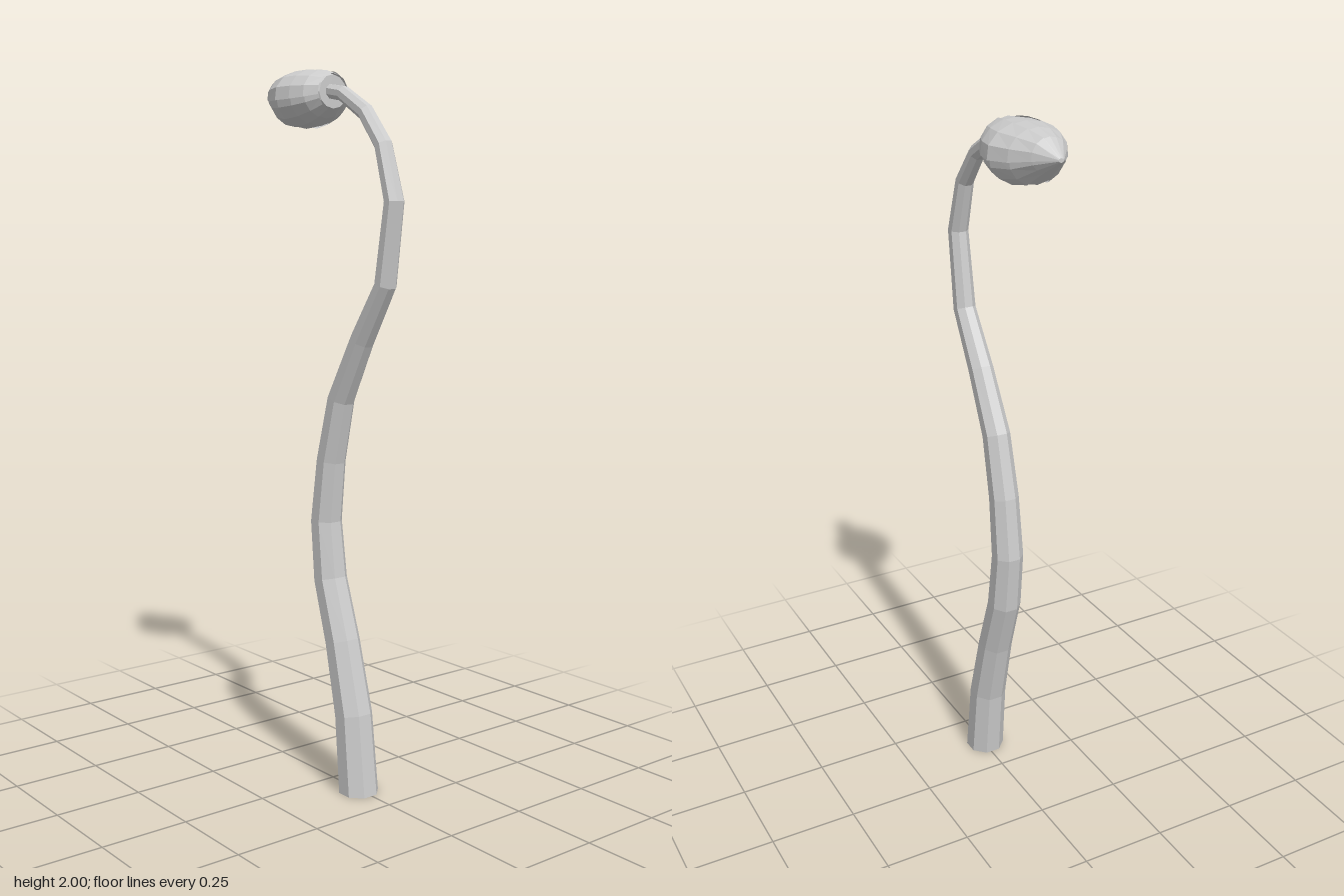
import * as THREE from 'three';

const material = new THREE.MeshStandardMaterial({ color: 0xcccccc, flatShading: true, side: THREE.DoubleSide });

// Skin a list of rings (arrays of Vector3) with quads; a closed skin wraps round
function skin(rings, closed, caps) {
  const n = rings[0].length, pos = [], index = [];
  rings.forEach(r => r.forEach(p => pos.push(p.x, p.y, p.z)));
  for (let i = 0; i < rings.length - 1; i++) {
    for (let j = 0; j < (closed ? n : n - 1); j++) {
      const a = i * n + j, b = i * n + (j + 1) % n;
      index.push(a, a + n, b, b, a + n, b + n);
    }
  }
  if (caps) {
    const last = (rings.length - 1) * n;
    for (let j = 1; j < n - 1; j++) {
      index.push(0, j, j + 1, last, last + j + 1, last + j);
    }
  }
  const g = new THREE.BufferGeometry();
  g.setAttribute('position', new THREE.Float32BufferAttribute(pos, 3));
  g.setIndex(index);
  const flat = g.toNonIndexed();
  flat.computeVertexNormals();
  return flat;
}

// Stem centre line: x, y, radius
const STEM = [
  [0.123, 0, 0.057], [0.1, 0.22, 0.054], [0.05, 0.42, 0.05], [-0.005, 0.59, 0.048],
  [-0.024, 0.755, 0.045], [-0.002, 0.93, 0.042], [0.042, 1.105, 0.039], [0.132, 1.27, 0.035],
  [0.228, 1.42, 0.031], [0.261, 1.635, 0.028], [0.217, 1.78, 0.025], [0.145, 1.868, 0.023],
  [0.05, 1.924, 0.021], [-0.02, 1.937, 0.02],
];

function stemGeometry(sides = 8) {
  const rings = STEM.map(([x, y, r], i) => {
    const p = STEM[Math.max(i - 1, 0)], q = STEM[Math.min(i + 1, STEM.length - 1)];
    // the foot is cut level with the ground
    const t = i === 0 ? new THREE.Vector2(0, 1) : new THREE.Vector2(q[0] - p[0], q[1] - p[1]).normalize();
    return Array.from({ length: sides }, (_, j) => {
      const a = (j + 0.5) / sides * Math.PI * 2;
      const u = Math.cos(a) * r;
      return new THREE.Vector3(x + t.y * u, y - t.x * u, 0.005 - Math.sin(a) * r);
    });
  });
  return skin(rings, true, true);
}

// Bud sections from tip to neck: x, half width, height above and below the axis, axis y
const BUD = [
  [-0.29, 0.008, 0.006, 0.006, 1.935], [-0.235, 0.05, 0.05, 0.04, 1.932],
  [-0.18, 0.084, 0.068, 0.075, 1.927], [-0.12, 0.107, 0.075, 0.085, 1.925],
  [-0.07, 0.098, 0.075, 0.078, 1.925], [-0.03, 0.08, 0.069, 0.063, 1.926],
  [0, 0.052, 0.054, 0.046, 1.93],
];

// Point on a bud section; angle 0 is the top, positive towards +z
function budPoint([x, w, up, down, y], angle, scale) {
  const c = Math.cos(angle);
  return new THREE.Vector3(x, y + c * (c > 0 ? up : down) * scale, Math.sin(angle) * w * scale);
}

// Petal: a strip of the bud surface, its first edge tucked under its neighbour
function petalGeometry(from, to, scaleFrom, scaleTo, steps = 3) {
  return skin(BUD.map(s => Array.from({ length: steps + 1 }, (_, j) => {
    const f = j / steps;
    const a = THREE.MathUtils.degToRad(THREE.MathUtils.lerp(from, to, f));
    return budPoint(s, a, THREE.MathUtils.lerp(scaleFrom, scaleTo, f));
  })), false, false);
}

export function createModel() {
  const group = new THREE.Group();
  const add = (name, geometry, parent = group) => {
    const mesh = new THREE.Mesh(geometry, material);
    mesh.name = name;
    parent.add(mesh);
  };

  add('stem', stemGeometry());

  const bud = new THREE.Group();
  bud.name = 'bud';
  group.add(bud);

  // closed heart that the petals wrap
  const heart = BUD.map(s => Array.from({ length: 12 }, (_, j) => budPoint(s, j / 12 * Math.PI * 2, 0.9)));
  add('budHeart', skin(heart, true, true), bud);

  // narrow top and bottom petals, paired side petals
  add('topPetal', petalGeometry(-26, 26, 0.97, 0.97, 2), bud);
  add('bottomPetal', petalGeometry(150, 210, 0.97, 0.97, 2), bud);
  for (const side of [1, -1]) {
    const label = side > 0 ? 'front' : 'back';
    add(label + 'UpperPetal', petalGeometry(side * 20, side * 98, 1, 1.01), bud);
    add(label + 'LowerPetal', petalGeometry(side * 88, side * 160, 0.96, 1), bud);
  }
  return group;
}
